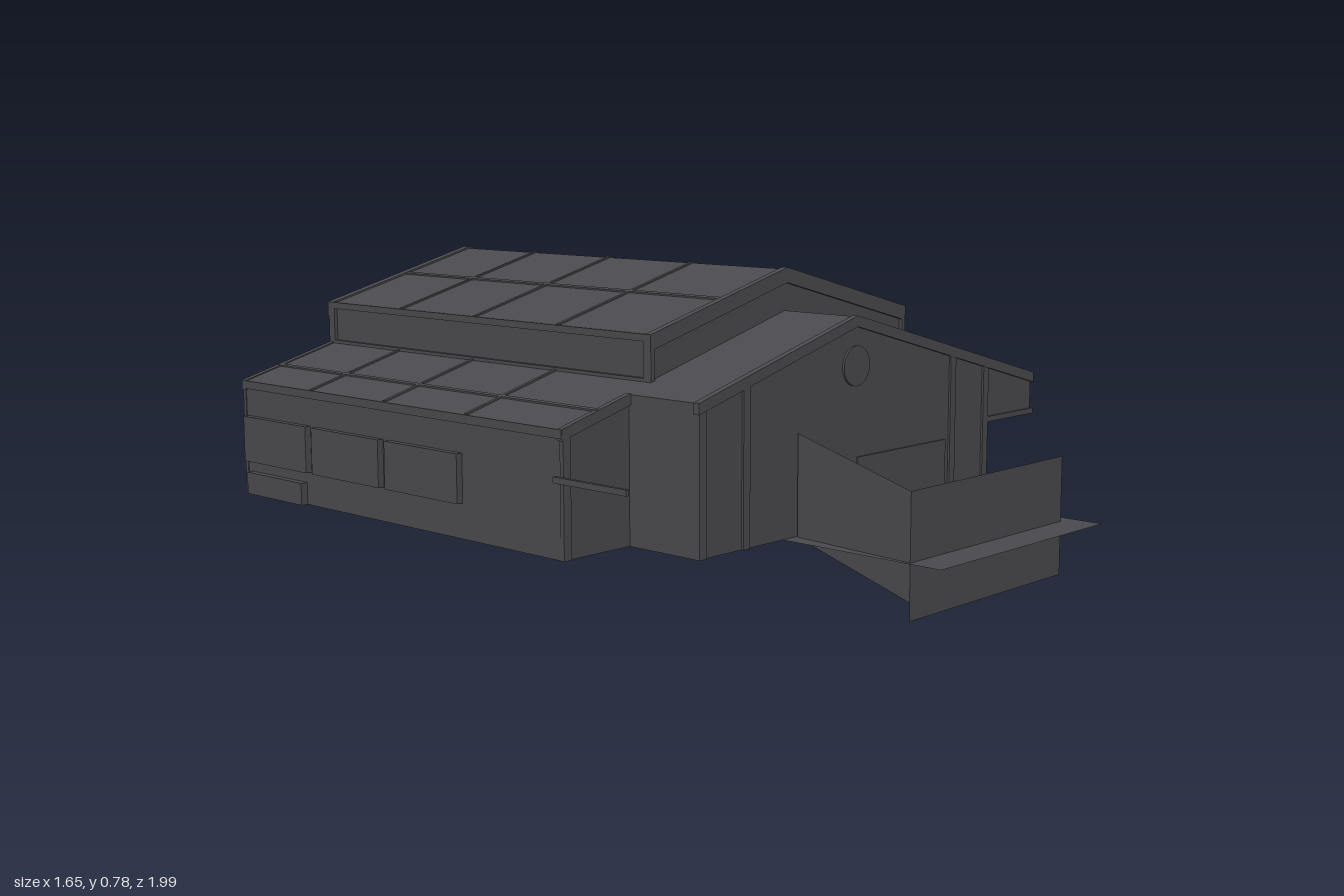
import * as THREE from 'three';

const wall = new THREE.MeshStandardMaterial({ color: 0x4a494d, side: THREE.DoubleSide });
wall.name = 'dark grey metal';

const BASE = 0.14;
const roofY = (x) => 0.67 - Math.abs(x) * 0.272;          // lower roof line
const topY = (x) => 0.778 - Math.abs(x) * 0.265;          // raised roof line

export function createModel() {
  const model = new THREE.Group();

  const add = (name, geometry, parent = model) => {
    const mesh = new THREE.Mesh(geometry, wall);
    mesh.name = name;
    parent.add(mesh);
    return mesh;
  };
  // box given by its limits
  const box = (name, x0, x1, y0, y1, z0, z1) => {
    const m = add(name, new THREE.BoxGeometry(x1 - x0, y1 - y0, z1 - z0));
    m.position.set((x0 + x1) / 2, (y0 + y1) / 2, (z0 + z1) / 2);
    return m;
  };
  // outline in the xy plane, extruded from z0 to z1
  const prism = (name, points, z0, z1) => {
    const shape = new THREE.Shape(points.map((p) => new THREE.Vector2(...p)));
    const g = new THREE.ExtrudeGeometry(shape, { depth: z1 - z0, bevelEnabled: false });
    return add(name, g.translate(0, 0, z0));
  };
  // band following a roof line between two x positions
  const band = (name, f, x0, x1, low, high, z0, z1) => {
    const xs = x0 < 0 && x1 > 0 ? [x0, 0, x1] : [x0, x1];
    prism(name, [
      ...xs.map((x) => [x, f(x) + low]),
      ...xs.reverse().map((x) => [x, f(x) + high]),
    ], z0, z1);
  };
  // single quad through four corners
  const quad = (name, corners) => {
    const g = new THREE.BufferGeometry();
    g.setAttribute('position', new THREE.Float32BufferAttribute(corners.flat(), 3));
    g.setIndex([0, 1, 2, 0, 2, 3]);
    g.computeVertexNormals();
    return add(name, g);
  };

  // main hall, front bay and the hood over the open corner porch
  const gable = (w) => [[-w, BASE], [w, BASE], [w, roofY(w)], [0, roofY(0)], [-w, roofY(w)]];
  prism('mainHall', gable(0.805), -0.975, 0.3);
  prism('frontBay', gable(0.585), 0.3, 0.525);
  prism('porchHood', [[0.585, 0.34], [0.805, 0.34], [0.805, roofY(0.805)], [0.585, roofY(0.585)]], 0.3, 0.525);

  // raised roof running along the ridge
  prism('raisedRoof', [[-0.5, 0.5], [0.5, 0.5], [0.5, topY(0.5)], [0, topY(0)], [-0.5, topY(0.5)]], -0.975, 0.29);
  for (const [z0, z1] of [[-0.99, -0.965], [0.28, 0.3]]) {
    band('raisedRoofTrim', topY, -0.51, 0.51, -0.035, 0.005, z0, z1);
  }
  for (const s of [-1, 1]) {
    const a = Math.min(s * 0.495, s * 0.51), b = Math.max(s * 0.495, s * 0.51);
    box('raisedEave', a, b, 0.63, 0.648, -0.985, 0.3);
    box('raisedSill', a, b, 0.525, 0.54, -0.975, 0.3);
    box('raisedCornerPost', a, b, 0.53, 0.64, 0.275, 0.3);
    box('raisedCornerPost', a, b, 0.53, 0.64, -0.985, -0.96);
    // long seams on both roofs
    const x = s * 0.24;
    band('raisedRoofSeam', topY, x - 0.006, x + 0.006, 0, 0.004, -0.975, 0.29);
    band('lowerRoofSeam', roofY, s * 0.69 - 0.005, s * 0.69 + 0.005, 0, 0.004, -0.975, s > 0 ? 0.525 : 0.3);
  }
  for (const z of [-0.67, -0.36, -0.04]) {
    band('raisedCrossSeam', topY, -0.5, 0.5, 0, 0.004, z - 0.005, z + 0.005);
    for (const [a, b] of [[-0.805, -0.5], [0.5, 0.805]]) {
      band('lowerCrossSeam', roofY, a, b, 0, 0.004, z - 0.005, z + 0.005);
    }
  }

  // trim along the lower gables and eaves
  band('frontGableTrim', roofY, -0.59, 0.81, -0.025, 0.003, 0.515, 0.533);
  band('sideGableTrim', roofY, -0.81, -0.585, -0.025, 0.003, 0.29, 0.306);
  band('backGableTrim', roofY, -0.81, 0.81, -0.025, 0.003, -0.983, -0.965);
  box('eaveTrim', 0.8, 0.812, 0.43, 0.452, -0.98, 0.53);
  box('eaveTrim', -0.812, -0.8, 0.43, 0.452, -0.98, 0.305);
  box('porchLintel', 0.57, 0.811, 0.335, 0.35, 0.518, 0.531);

  // wall columns
  const column = (x, z, w = 0.012) =>
    box('wallColumn', x - w, x + w, BASE, roofY(Math.abs(x) + w) - 0.01, z - 0.006, z + 0.006);
  for (const x of [-0.575, -0.42, 0.42, 0.575]) {
    column(x, 0.525);
    column(x, -0.976);
  }
  for (const x of [-0.795, 0.795]) {
    column(x, -0.976);
    column(x, 0.3);
  }

  // side shutters, three to each side
  for (const s of [-1, 1]) {
    for (const z of [-0.82, -0.51, -0.2]) {
      const shutter = box('sideShutter', -0.01, 0.01, 0.23, 0.355, z - 0.142, z + 0.142);
      shutter.position.x = s * 0.813;
    }
  }
  box('sideRail', 0.803, 0.811, 0.33, 0.34, -0.03, 0.28);
  box('sideSkirt', -0.825, -0.8, BASE, 0.2, -0.95, -0.7);
  box('projectingBeam', -0.817, -0.807, 0.325, 0.34, 0.28, 0.52);

  // round gable vents
  for (const z of [0.527, -0.977]) {
    const vent = add('roundVent', new THREE.CylinderGeometry(0.052, 0.052, 0.008, 24));
    vent.rotation.x = Math.PI / 2;
    vent.position.set(0, 0.545, z);
  }

  // front entrance and large doors
  box('entranceSide', -0.135, -0.122, BASE, 0.265, 0.52, 0.595);
  box('entranceSide', -0.05, -0.037, BASE, 0.265, 0.52, 0.595);
  box('entranceTop', -0.135, -0.037, 0.265, 0.28, 0.52, 0.595);
  box('frontLargeDoor', 0.01, 0.39, BASE, 0.31, 0.522, 0.53);
  for (const x of [-0.133, 0, 0.133]) {
    box('backDoorPanel', x - 0.064, x + 0.064, BASE, 0.335, -0.984, -0.97);
  }
  box('backDoorTrack', -0.2, 0.2, 0.335, 0.35, -0.988, -0.97);

  // loading deck with its two screens
  quad('deck', [[-0.28, BASE, 1], [0.42, BASE, 1], [0.42, BASE, 0.525], [-0.28, BASE, 0.525]]);
  quad('frontScreen', [[-0.27, 0, 0.905], [0.375, 0, 0.905], [0.375, 0.31, 0.905], [-0.27, 0.31, 0.905]]);
  quad('sideScreen', [[-0.27, 0.045, 0.905], [-0.27, 0.31, 0.905], [-0.23, 0.4, 0.53], [-0.23, BASE, 0.53]]);

  // crates on the deck
  for (const [x, z, h, turn] of [[-0.19, 0.87, 0.07, 0.4], [-0.14, 0.82, 0.03, 0.5], [-0.13, 0.87, 0.03, 0.1], [-0.08, 0.85, 0.03, -0.6]]) {
    const crate = add('crate', new THREE.BoxGeometry(0.045, h, 0.035));
    crate.position.set(x, BASE + h / 2, z);
    crate.rotation.y = turn;
  }
  return model;
}
